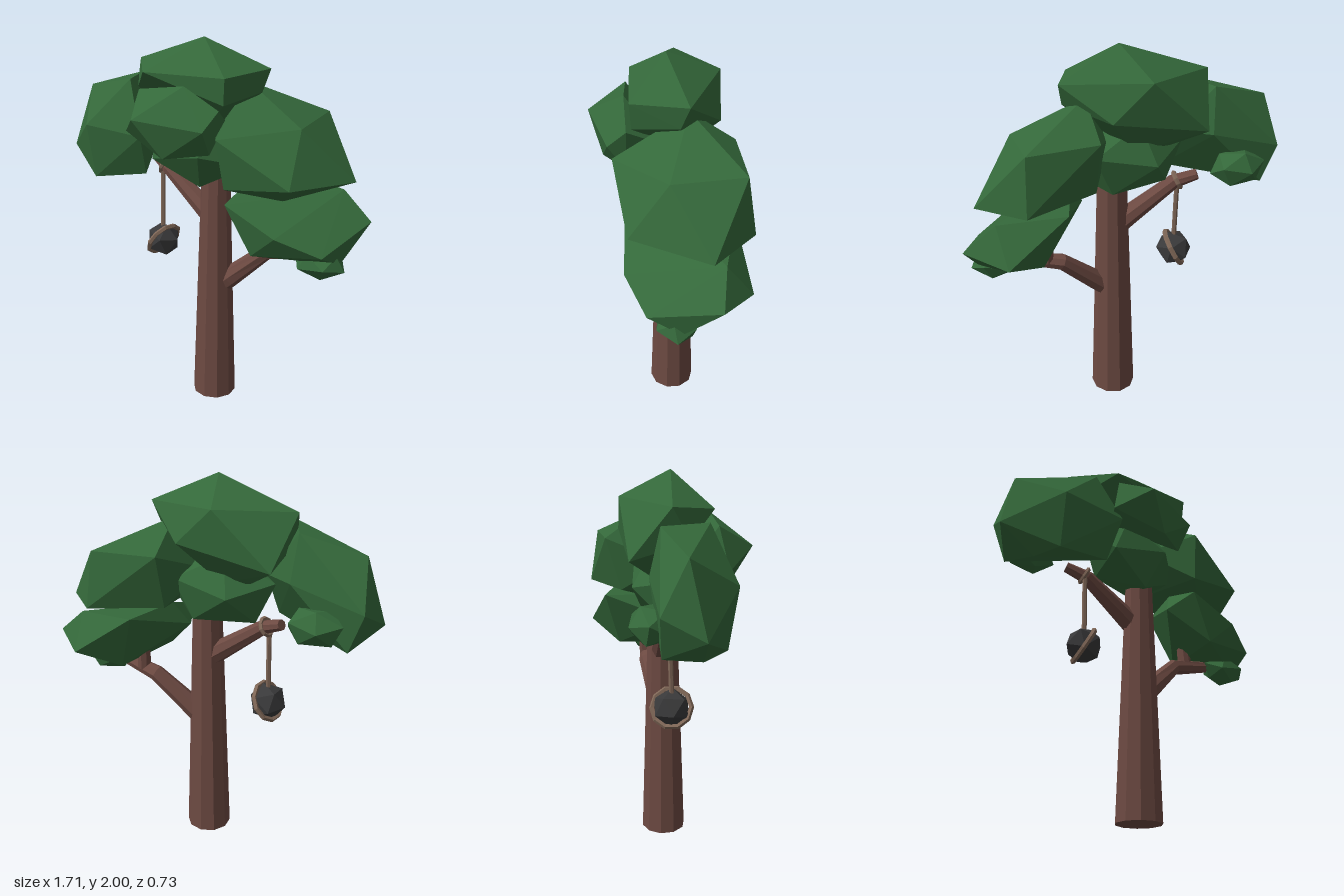
import * as THREE from 'three';
import { ConvexGeometry } from 'three/addons/geometries/ConvexGeometry.js';

function mat(name, color) {
  const m = new THREE.MeshStandardMaterial({ color });
  m.name = name;
  return m;
}

// Faceted look: every face gets its own normal
function facet(geo) {
  const g = geo.index ? geo.toNonIndexed() : geo;
  g.computeVertexNormals();
  return g;
}

// Tapered faceted limb: rows of a cylinder are moved along a path of [x, y, z, radius]
function limbGeometry(path, sides) {
  const n = path.length - 1;
  const geo = new THREE.CylinderGeometry(1, 1, 1, sides, n);
  const pts = path.map(p => new THREE.Vector3(p[0], p[1], p[2]));
  const up = new THREE.Vector3(0, 1, 0);
  const turns = pts.map((p, i) => {
    const dir = pts[Math.min(i + 1, n)].clone().sub(pts[Math.max(i - 1, 0)]).normalize();
    return new THREE.Quaternion().setFromUnitVectors(up, dir);
  });
  const pos = geo.attributes.position;
  const v = new THREE.Vector3();
  for (let i = 0; i < pos.count; i++) {
    const row = Math.round((0.5 + pos.getY(i)) * n);
    v.set(pos.getX(i), 0, pos.getZ(i)).multiplyScalar(path[row][3]);
    v.applyQuaternion(turns[row]).add(pts[row]);
    pos.setXYZ(i, v.x, v.y, v.z);
  }
  return facet(geo);
}

// Small leaf clump: a turned and stretched icosahedron
function clumpGeometry(center, radii, yaw) {
  return facet(new THREE.IcosahedronGeometry(1, 0)
    .rotateX(0.55).rotateY(yaw).scale(...radii).translate(...center));
}

export function createModel() {
  const tree = new THREE.Group();
  tree.name = 'tree';
  const bark = mat('bark', 0x6d4a42);
  const leaf = mat('leaf', 0x34683a);
  const rope = mat('rope', 0x7f6757);
  const stone = mat('stone', 0x39393a);

  const add = (name, geo, material, parent = tree) => {
    const mesh = new THREE.Mesh(geo, material);
    mesh.name = name;
    parent.add(mesh);
    return mesh;
  };

  // Trunk and branches
  add('trunk', limbGeometry([[0.05, 0, -0.044, 0.121], [0.05, 1.33, -0.044, 0.076]], 10), bark);
  add('leftBranch', limbGeometry([
    [0.06, 0.655, -0.045, 0.056], [0.14, 0.73, -0.05, 0.057], [0.34, 0.91, -0.08, 0.044], [0.62, 0.97, -0.03, 0.028],
  ], 8), bark);
  add('leftTwig', limbGeometry([[0.42, 0.93, -0.07, 0.038], [0.41, 1.1, -0.08, 0.034]], 8), bark);
  add('rightBranch', limbGeometry([
    [0.04, 1.05, -0.05, 0.06], [-0.27, 1.275, -0.095, 0.038], [-0.38, 1.32, -0.14, 0.028],
  ], 8), bark);

  // Large leaf clumps, each the hull of a few corner points
  const crown = new THREE.Group();
  crown.name = 'crown';
  tree.add(crown);
  const clumps = {
    topClump: [
      [0, 2, -0.01], [0.325, 1.86, -0.09], [0.21, 1.84, 0.175], [-0.26, 1.83, 0.15],
      [-0.43, 1.86, -0.09], [-0.07, 1.88, -0.28], [-0.36, 1.61, -0.28], [0.12, 1.7, -0.26],
      [0.3, 1.75, -0.05], [0.2, 1.71, 0.165], [-0.4, 1.7, 0], [-0.05, 1.48, -0.1], [-0.22, 1.51, -0.15],
    ],
    rightClump: [
      [-0.37, 1.78, 0.1], [-0.45, 1.78, -0.15], [-0.76, 1.69, -0.09], [-0.855, 1.35, -0.03],
      [-0.61, 1.53, 0.175], [-0.67, 1.21, 0], [-0.6, 1.235, 0.13], [-0.72, 1.25, -0.2], [-0.29, 1.29, 0.1],
      [-0.26, 1.51, 0.19], [-0.79, 1.45, -0.22], [-0.43, 1.55, -0.2], [-0.27, 1.54, -0.06],
    ],
    leftClump: [
      [0.2, 1.79, -0.1], [0.54, 1.61, 0.02], [0.55, 1.635, -0.32], [0.2, 1.64, -0.32],
      [0.57, 1.35, -0.365], [0.77, 1.34, -0.15], [0.57, 1.36, 0.21], [0.21, 1.57, 0.26],
      [0.235, 1.32, 0.22], [0.46, 1.24, 0.02], [0.2, 1.36, -0.24], [0.06, 1.52, -0.02],
    ],
    lowLeftClump: [
      [0.235, 1.24, 0.21], [0.26, 1.31, -0.02], [0.69, 1.27, -0.22], [0.36, 1.3, -0.31],
      [0.85, 1.135, -0.19], [0.67, 1.09, -0.355], [0.51, 1.12, 0.23], [0.72, 1.03, 0.14],
      [0.37, 0.99, 0.185], [0.185, 1.18, 0.04], [0.76, 0.95, -0.02], [0.47, 0.99, -0.22],
    ],
    frontClump: [
      [-0.19, 1.64, 0.365], [0.15, 1.6, 0.28], [-0.06, 1.45, 0.3], [-0.33, 1.54, 0.21],
      [-0.27, 1.75, 0.17], [0, 1.79, 0.19], [0.19, 1.69, 0.19], [0.14, 1.47, 0.19],
      [-0.22, 1.56, 0.04], [0.14, 1.6, 0.02],
    ],
  };
  for (const [name, pts] of Object.entries(clumps)) {
    add(name, new ConvexGeometry(pts.map(p => new THREE.Vector3(...p))), leaf, crown);
  }

  // Smaller leaf clumps
  add('middleClump', clumpGeometry([-0.03, 1.44, -0.03], [0.31, 0.21, 0.21], 0.3), leaf, crown);
  add('lowTuft', clumpGeometry([0.66, 0.945, -0.005], [0.14, 0.08, 0.11], 0.4), leaf, crown);
  add('backTuft', clumpGeometry([-0.565, 1.365, -0.22], [0.15, 0.1, 0.105], 0.2), leaf, crown);

  // Hanging stone with its rope
  const hanging = new THREE.Group();
  hanging.name = 'hangingStone';
  hanging.position.set(-0.298, 0.857, -0.068);
  tree.add(hanging);
  add('stone', facet(new THREE.IcosahedronGeometry(0.1, 0)), stone, hanging).rotation.set(0.3, 0.5, 0.2);
  const band = add('stoneBand', facet(new THREE.TorusGeometry(0.1, 0.014, 5, 10)), rope, hanging);
  band.quaternion.setFromUnitVectors(new THREE.Vector3(0, 0, 1), new THREE.Vector3(-0.82, 0.48, -0.28).normalize());
  add('rope', limbGeometry([[0, 0.08, 0, 0.013], [0, 0.4, -0.01, 0.013]], 6), rope, hanging);
  const loop = add('ropeLoop', facet(new THREE.TorusGeometry(0.043, 0.012, 5, 10)), rope, hanging);
  loop.position.set(0.01, 0.425, -0.03);
  loop.quaternion.setFromUnitVectors(new THREE.Vector3(0, 0, 1), new THREE.Vector3(-0.85, 0.45, -0.25).normalize());

  return tree;
}
